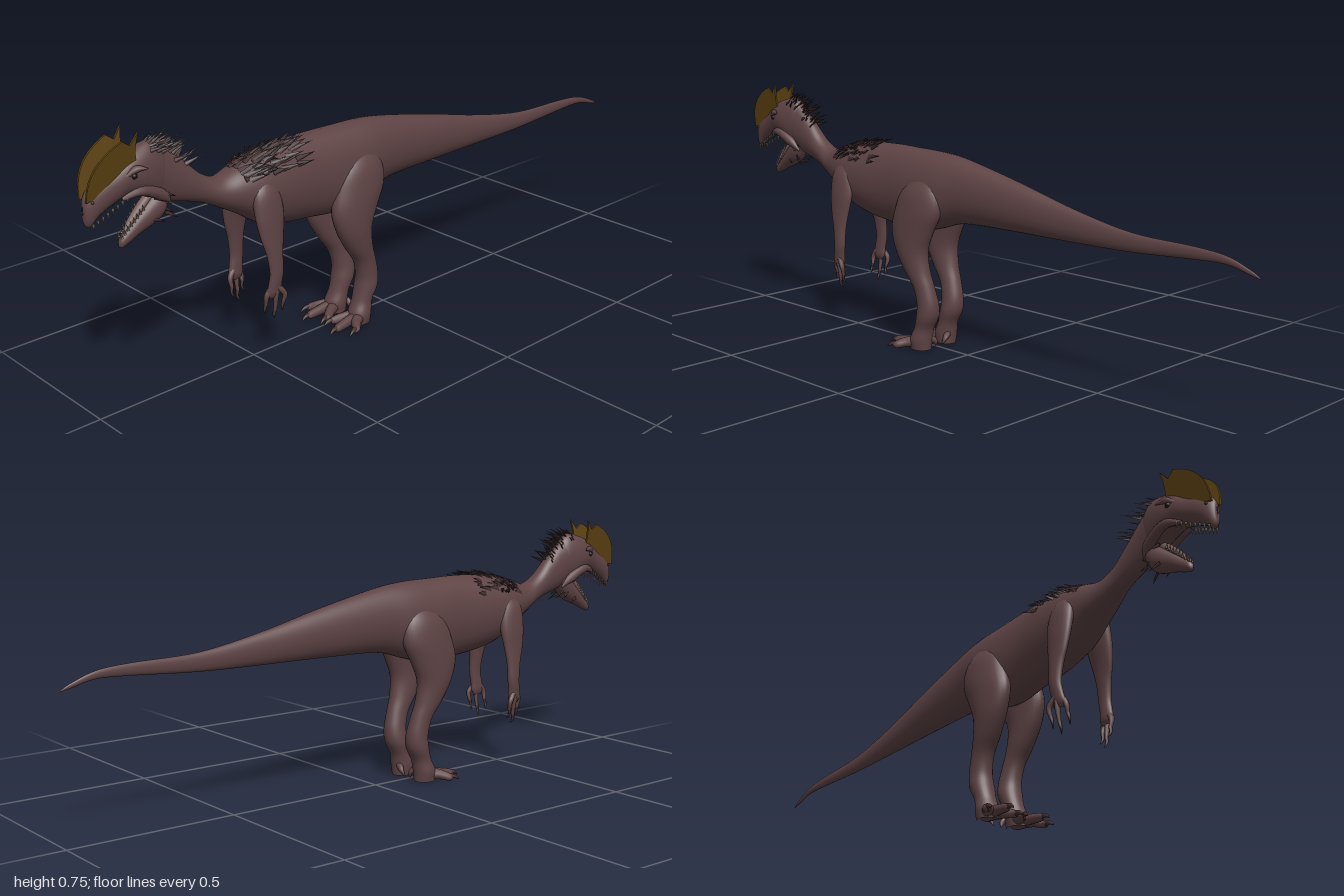
import * as THREE from 'three';
import { mergeGeometries } from 'three/addons/utils/BufferGeometryUtils.js';

const V = (x, y, z) => new THREE.Vector3(x, y, z);
const mat = (name, color) => new THREE.MeshStandardMaterial({ name, color });

// Smooth curve through a list of three-number rows
const spline = rows => new THREE.CatmullRomCurve3(rows.map(r => V(...r)), false, 'catmullrom', 0.5);

// Skin over elliptical rings. Rows are [x, y, z, a, b]; rings lie in the xy plane
// (rows run towards +z) or in the xz plane (rows run downwards).
function loft(rows, upright, sides = 28, perRow = 5) {
  const centre = spline(rows.map(r => r.slice(0, 3)));
  const radii = spline(rows.map(r => [r[3], r[4], 0]));
  const n = (rows.length - 1) * perRow, pos = [], idx = [];
  for (let i = 0; i <= n; i++) {
    const c = centre.getPoint(i / n), r = radii.getPoint(i / n);
    for (let j = 0; j < sides; j++) {
      const t = j / sides * Math.PI * 2, u = r.x * Math.cos(t), v = r.y * Math.sin(t);
      pos.push(c.x + u, c.y + (upright ? 0 : v), c.z + (upright ? v : 0));
      if (i < n) {
        const k = (j + 1) % sides, a = i * sides + j, b = i * sides + k;
        idx.push(a, b, a + sides, b, b + sides, a + sides);
      }
    }
  }
  const g = new THREE.BufferGeometry();
  g.setAttribute('position', new THREE.Float32BufferAttribute(pos, 3));
  g.setIndex(idx);
  g.computeVertexNormals();
  return g;
}

// Profile rows [z, top, bottom, halfWidth] to loft rows
const profile = rows => rows.map(([z, t, b, w]) => [0, (t + b) / 2, z, w, (t - b) / 2]);

// Tapered tube through [x, y, z, radius] points
function taper(pts, seg = 14, sides = 10) {
  const curve = spline(pts.map(p => p.slice(0, 3)));
  const g = new THREE.TubeGeometry(curve, seg, 1, sides);
  const p = g.attributes.position, nrm = g.attributes.normal;
  for (let i = 0; i < p.count; i++) {
    const u = Math.floor(i / (sides + 1)) / seg, c = curve.getPointAt(u);
    const s = curve.getUtoTmapping(u) * (pts.length - 1), k = Math.min(Math.floor(s), pts.length - 2);
    const r = THREE.MathUtils.lerp(pts[k][3], pts[k + 1][3], s - k);
    p.setXYZ(i, c.x + nrm.getX(i) * r, c.y + nrm.getY(i) * r, c.z + nrm.getZ(i) * r);
  }
  return g;
}

// Flat pointed blade from a base point along a direction
function blade(base, dir, up, len, w, flat = 0.3) {
  const d = dir.clone().normalize(), s = d.clone().cross(up).normalize(), n = s.clone().cross(d);
  const g = new THREE.ConeGeometry(1, 1, 5).translate(0, 0.42, 0).scale(w, len, w * flat);
  return g.applyMatrix4(new THREE.Matrix4().makeBasis(s, d, n).setPosition(base));
}

export function createModel() {
  const group = new THREE.Group();
  const skin = mat('brown skin', 0x5e4344), plume = mat('dark plumage', 0x3f2d2e);
  const gold = mat('dull gold crest', 0x5e4213), claw = mat('dark claw', 0x43302e);
  const tooth = mat('grey tooth', 0x857a6c), mouth = mat('mouth lining', 0x705753), eyeM = mat('eye', 0x1c1412);
  const add = (name, geo, m = skin) => {
    const mesh = new THREE.Mesh(geo, m);
    mesh.name = name;
    group.add(mesh);
  };
  let seed = 7;
  const rnd = () => (seed = (seed * 16807) % 2147483647) / 2147483647;
  const jit = a => (rnd() - 0.5) * 2 * a;

  // Tail, torso and neck as one skin
  const bodyRows = profile([
    [-1, .412, .408, .001], [-.97, .428, .415, .004], [-.9, .452, .43, .006], [-.8, .461, .427, .008],
    [-.6, .467, .414, .012], [-.4, .502, .41, .023], [-.2, .55, .408, .04], [0, .592, .402, .057],
    [.1, .604, .375, .071], [.2, .607, .352, .074], [.3, .609, .362, .071], [.4, .605, .375, .075],
    [.48, .595, .40, .075], [.54, .578, .44, .064], [.6, .562, .475, .046], [.65, .583, .502, .034],
    [.7, .63, .52, .031], [.75, .675, .535, .031], [.8, .706, .56, .033], [.84, .695, .60, .025]]);
  add('body', loft(bodyRows, false, 36, 6));

  // Skull and upper snout
  add('skull', loft(profile([
    [.755, .66, .60, .004], [.77, .695, .56, .028], [.8, .712, .555, .037], [.84, .704, .575, .042],
    [.88, .69, .585, .039], [.92, .663, .572, .031], [.96, .64, .552, .025], [.985, .625, .53, .019],
    [.998, .605, .54, .01], [1, .59, .565, .001]]), false));

  // Open lower jaw with its lining
  add('lowerJaw', loft(profile([
    [.755, .60, .545, .02], [.78, .59, .505, .03], [.81, .565, .487, .027], [.845, .532, .474, .02],
    [.88, .497, .457, .014], [.9, .478, .45, .01], [.908, .464, .457, .001]]), false));
  add('tongue', taper([[0, .575, .80, .012], [0, .545, .835, .013], [0, .51, .872, .009], [0, .487, .892, .001]]), mouth);

  // Teeth along both jaws
  const teeth = [];
  for (const s of [-1, 1]) {
    for (let i = 0; i < 8; i++) {
      const t = i / 7;
      teeth.push(blade(V(s * (.028 - .014 * t), .588 - .05 * t, .89 + .092 * t), V(0, -1, -.1), V(0, 0, 1), .02, .004, 1));
      teeth.push(blade(V(s * (.019 - .012 * t), .54 - .062 * t, .84 + .06 * t), V(0, 1, .25), V(0, 0, 1), .018, .0035, 1));
    }
  }
  add('teeth', mergeGeometries(teeth), tooth);

  // Outline of a crest in the side plane (z, y)
  const crestShape = new THREE.Shape();
  crestShape.moveTo(.998, .60);
  crestShape.bezierCurveTo(1.0, .67, .965, .71, .90, .738);
  crestShape.lineTo(.878, .722);
  crestShape.lineTo(.855, .752);
  crestShape.quadraticCurveTo(.868, .70, .855, .66);
  crestShape.quadraticCurveTo(.92, .64, .955, .61);
  crestShape.closePath();

  for (const s of [-1, 1]) {
    const side = s > 0 ? 'left' : 'right';

    // Crest blade leaning outwards
    const crest = new THREE.ExtrudeGeometry(crestShape, { depth: .006, bevelEnabled: false, curveSegments: 10 });
    crest.translate(0, 0, -.003).rotateY(-Math.PI / 2);
    const cp = crest.attributes.position;
    for (let i = 0; i < cp.count; i++) cp.setX(i, cp.getX(i) + s * (.008 + (cp.getY(i) - .55) * .15));
    crest.computeVertexNormals();
    add(side + 'Crest', crest, gold);

    // Brow horn, cheek ridge, eye and nostril
    add(side + 'Brow', taper([[s * .03, .645, .89, .006], [s * .04, .66, .865, .01], [s * .05, .657, .838, .001]]));
    add(side + 'Cheek', taper([[s * .02, .585, .90, .006], [s * .034, .598, .85, .013], [s * .03, .57, .79, .016], [s * .02, .54, .76, .002]]));
    add(side + 'Eye', new THREE.SphereGeometry(.008, 14, 10).translate(s * .037, .643, .872), eyeM);
    add(side + 'Nostril', new THREE.SphereGeometry(.004, 8, 6).translate(s * .019, .598, .982), claw);

    // Hind leg from hip to ankle
    add(side + 'Leg', loft([
      [s * .045, .54, .13, .012, .03], [s * .052, .49, .14, .035, .075], [s * .058, .43, .15, .041, .09],
      [s * .062, .37, .17, .04, .082], [s * .063, .31, .174, .038, .061], [s * .06, .25, .155, .034, .046],
      [s * .056, .20, .13, .03, .036], [s * .052, .15, .117, .032, .035], [s * .05, .11, .12, .035, .035],
      [s * .05, .07, .135, .031, .03], [s * .052, .035, .146, .034, .035], [s * .052, .004, .148, .03, .034]], true));

    // Toes with claws: inner, middle, outer and a rear spur
    const toes = [[.014, .225], [.06, .25], [.1, .215]];
    toes.forEach(([x, z], i) => {
      const mx = (x + .052) / 2;
      add(side + 'Toe' + i, taper([[s * .052, .024, .14, .02], [s * mx, .022, .18, .016], [s * x, .014, z - .012, .012], [s * x, .01, z, .006]]));
      add(side + 'ToeClaw' + i, taper([[s * x, .016, z - .014, .009], [s * (x + (x - .052) * .1), .014, z + .006, .006], [s * (x + (x - .052) * .18), .003, z + .022, .001]]), claw);
    });
    add(side + 'Spur', taper([[s * .04, .04, .125, .012], [s * .022, .026, .118, .008], [s * .012, .006, .125, .001]]));

    // Arm from shoulder to wrist
    add(side + 'Arm', loft([
      [s * .052, .54, .485, .012, .02], [s * .062, .50, .487, .022, .042], [s * .072, .44, .485, .021, .046],
      [s * .08, .38, .485, .016, .037], [s * .085, .33, .482, .014, .026], [s * .088, .28, .48, .013, .022],
      [s * .086, .245, .485, .012, .022], [s * .084, .22, .488, .01, .024], [s * .083, .205, .488, .004, .015]], true, 20));

    // Fingers with hooked claws
    [[.51, .185], [.485, .165], [.462, .185]].forEach(([z, y], i) => {
      const x = .082 + (i - 1) * .008;
      add(side + 'Finger' + i, taper([[s * .085, .245, .488, .009], [s * (x + .006), .215, z, .008], [s * x, y, z, .005]], 10, 8));
      add(side + 'FingerClaw' + i, taper([[s * x, y + .004, z, .0055], [s * (x - .002), y - .014, z + .003, .004], [s * (x - .009), y - .028, z - .003, .0008]], 8, 8), claw);
    });
  }

  // Point and normal on the body skin at z, with an angle measured from the top
  const centre = spline(bodyRows.map(r => r.slice(0, 3))), radii = spline(bodyRows.map(r => [r[3], r[4], 0]));
  const onBody = (z, ang) => {
    let t = 0;
    while (t < 1 && centre.getPoint(t).z < z) t += .002;
    const c = centre.getPoint(Math.min(t, 1)), r = radii.getPoint(Math.min(t, 1));
    const sn = Math.sin(ang), cs = Math.cos(ang);
    return { p: V(r.x * sn, c.y + r.y * cs, z), n: V(sn / r.x, cs / r.y, 0).normalize() };
  };
  const feathers = (count, z0, z1, spread, len, w, lift, back) => Array.from({ length: count }, () => {
    const { p, n } = onBody(z0 + (z1 - z0) * rnd(), jit(spread));
    const d = n.clone().multiplyScalar(lift + jit(.15)).add(V(jit(.25), 0, -back));
    return blade(p, d, n, len * (.7 + .6 * rnd()), w);
  });

  // Feather mane over the shoulders, nape crest and shoulder tufts
  add('shoulderMane', mergeGeometries(feathers(95, .37, .55, 1.0, .055, .009, .38, 1)), plume);
  add('napeFeathers', mergeGeometries(feathers(50, .7, .835, .8, .05, .007, .75, 1)), plume);
  const tufts = [];
  for (const s of [-1, 1]) {
    for (let i = 0; i < 9; i++) {
      const { p, n } = onBody(.45 + i * .008, s * (.75 + jit(.25)));
      tufts.push(blade(p, V(s, .25 + jit(.3), -.5 + jit(.3)), n, .035, .008));
    }
    // Ragged feathers behind the jaw
    for (let i = 0; i < 7; i++)
      tufts.push(blade(V(s * (.012 + .016 * rnd()), .5 + .07 * rnd(), .77 + .05 * rnd()), V(s * .3, -.45 + jit(.3), -1), V(s, 0, 0), .04, .007));
  }
  add('shoulderAndThroatTufts', mergeGeometries(tufts), plume);

  return group;
}
